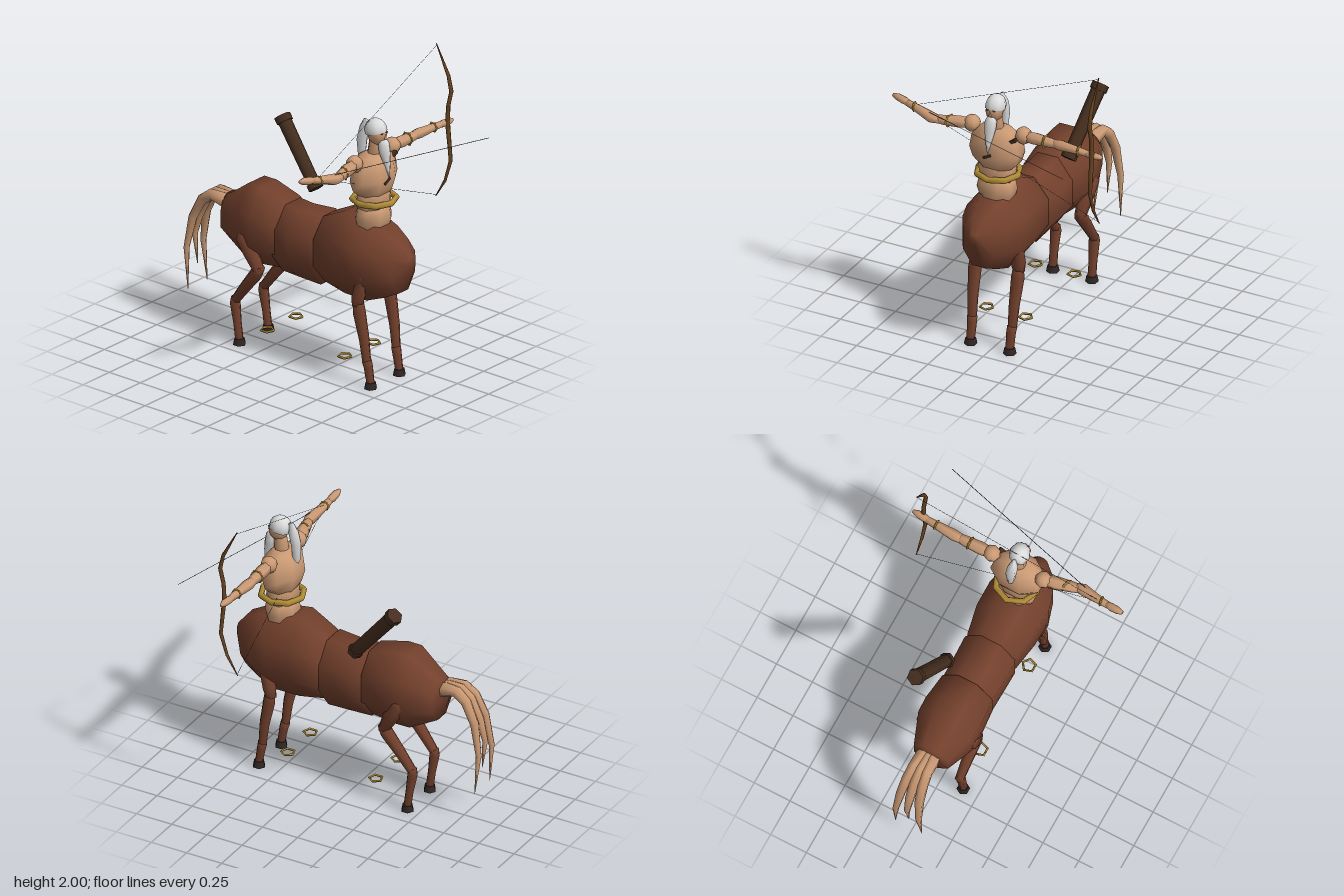
import * as THREE from 'three';

const mat = (name, color) => {
  const m = new THREE.MeshStandardMaterial({ color });
  m.name = name;
  return m;
};

export function createModel() {
  const root = new THREE.Group();
  const coat = mat('chestnut coat', 0x74412d);
  const skin = mat('tan skin', 0xcb9a74);
  const hair = mat('white hair', 0xdcdcdc);
  const gold = mat('gold', 0xb18c36);
  const wood = mat('bow wood', 0x6b4522);
  const leather = mat('dark leather', 0x452e1e);
  const horn = mat('hoof', 0x302726);
  const cord = mat('cord', 0x3a3a3a);
  const CX = -0.012;
  const X = new THREE.Vector3(1, 0, 0), Z = new THREE.Vector3(0, 0, 1);

  function add(name, geo, material, parent = root) {
    const m = new THREE.Mesh(geo, material);
    m.name = name;
    parent.add(m);
    return m;
  }

  // Closed loft through elliptical rings [x, y, z, ru, rv]; u is the ring's first axis
  function loft(rings, n = 6, u = X, dir = null) {
    const pos = [], idx = [], k = n % 4 ? 1 : 1 / Math.cos(Math.PI / n);
    const P = rings.map(r => new THREE.Vector3(r[0], r[1], r[2]));
    const last = rings.length - 1;
    rings.forEach((r, i) => {
      const t = dir || P[Math.min(i + 1, last)].clone().sub(P[Math.max(i - 1, 0)]).normalize();
      const v = t.clone().cross(u).normalize(), w = v.clone().cross(t);
      for (let j = 0; j < n; j++) {
        const a = (j + 0.5) / n * Math.PI * 2;
        const p = P[i].clone().addScaledVector(w, Math.cos(a) * r[3] * k)
          .addScaledVector(v, Math.sin(a) * (r[4] ?? r[3]) * k);
        pos.push(p.x, p.y, p.z);
      }
    });
    const c0 = pos.length / 3, c1 = c0 + 1;
    pos.push(...P[0].toArray(), ...P[last].toArray());
    for (let j = 0; j < n; j++) {
      const q = (j + 1) % n, e = last * n;
      for (let i = 0; i < last; i++) {
        const a = i * n + j, b = i * n + q;
        idx.push(a, b, b + n, a, b + n, a + n);
      }
      idx.push(c0, q, j, c1, e + j, e + q);
    }
    const g = new THREE.BufferGeometry();
    g.setAttribute('position', new THREE.Float32BufferAttribute(pos, 3));
    g.setIndex(idx);
    g.computeVertexNormals();
    return g;
  }

  function ball(name, x, y, z, rx, ry, rz, material) {
    const m = add(name, new THREE.SphereGeometry(1, 8, 6), material);
    m.position.set(x, y, z);
    m.scale.set(rx, ry, rz);
    return m;
  }

  function rod(name, a, b, r, material) {
    const p = new THREE.Vector3(...a), q = new THREE.Vector3(...b);
    return add(name, new THREE.TubeGeometry(new THREE.LineCurve3(p, q), 1, r, 4), material);
  }

  // Horse body: three overlapping masses, rings [z, centre y, half width, half height]
  const body = (name, rows) =>
    add(name, loft(rows.map(([z, y, rx, ry]) => [CX, y, z, rx, ry]), 8, X, Z), coat);
  body('foreBody', [[0.15, 0.8, 0.1, 0.15], [0.2, 0.795, 0.17, 0.215], [0.38, 0.825, 0.2, 0.275],
    [0.56, 0.81, 0.205, 0.26], [0.68, 0.815, 0.17, 0.22], [0.785, 0.815, 0.11, 0.17], [0.853, 0.86, 0.035, 0.04]]);
  body('barrel', [[-0.2, 0.78, 0.1, 0.15], [-0.13, 0.78, 0.17, 0.225], [0, 0.772, 0.172, 0.222],
    [0.18, 0.778, 0.176, 0.232], [0.26, 0.775, 0.12, 0.17]]);
  body('rump', [[-0.612, 0.87, 0.07, 0.055], [-0.585, 0.79, 0.12, 0.14], [-0.4, 0.81, 0.188, 0.255],
    [-0.3, 0.81, 0.192, 0.255], [-0.11, 0.795, 0.175, 0.22], [-0.07, 0.79, 0.1, 0.15]]);

  // Legs, hooves and anklets, mirrored
  for (const s of [-1, 1]) {
    const side = s > 0 ? 'left' : 'right';
    const leg = (name, rows) =>
      add(side + name, loft(rows.map(([x, y, z, r]) => [CX + s * x, y, z, r])), coat);
    leg('FrontUpperLeg', [[0.165, 0.8, 0.59, 0.012], [0.165, 0.75, 0.588, 0.034],
      [0.152, 0.6, 0.553, 0.047], [0.15, 0.53, 0.54, 0.035]]);
    leg('FrontLowerLeg', [[0.15, 0.56, 0.55, 0.034], [0.15, 0.5, 0.555, 0.042],
      [0.145, 0.32, 0.592, 0.034], [0.14, 0.16, 0.61, 0.028]]);
    leg('FrontPastern', [[0.14, 0.18, 0.608, 0.032], [0.137, 0.14, 0.618, 0.03], [0.137, 0.03, 0.637, 0.026]]);
    leg('Thigh', [[0.158, 0.785, -0.375, 0.025], [0.16, 0.745, -0.37, 0.052],
      [0.152, 0.65, -0.31, 0.052], [0.145, 0.53, -0.25, 0.034]]);
    leg('HindShank', [[0.145, 0.57, -0.24, 0.03], [0.143, 0.52, -0.275, 0.044],
      [0.138, 0.4, -0.37, 0.037], [0.135, 0.28, -0.46, 0.03]]);
    leg('HindPastern', [[0.135, 0.31, -0.458, 0.026], [0.135, 0.27, -0.455, 0.035],
      [0.137, 0.14, -0.435, 0.027], [0.137, 0.03, -0.42, 0.027]]);
    for (const [end, z, az] of [['Front', 0.636, 0.43], ['Hind', -0.42, -0.195]]) {
      const hoof = add(side + end + 'Hoof', new THREE.CylinderGeometry(0.033, 0.042, 0.042, 6), horn);
      hoof.position.set(CX + s * 0.137, 0.021, z);
      const ring = add(side + end + 'Anklet', new THREE.TorusGeometry(0.043, 0.008, 4, 5), gold);
      ring.rotation.x = Math.PI / 2;
      ring.position.set(CX + s * 0.137, 0.16, az);
    }
  }

  // Tail strands
  for (const [i, s] of [-1, 0, 1].entries()) {
    const drop = s ? 0 : 0.14;
    add('tailStrand' + (i + 1), loft([[CX + s * 0.02, 0.85, -0.58, 0.05], [CX + s * 0.035, 0.88, -0.64, 0.048],
      [CX + s * 0.045, 0.89, -0.72, 0.038], [CX + s * 0.055, 0.84, -0.79, 0.034],
      [CX + s * 0.065, 0.71, -0.855, 0.03], [CX + s * 0.08, 0.5 + drop * 0.5, -0.893, 0.02],
      [CX + s * 0.092, 0.23 + drop, -0.872, 0.002]]), skin);
  }

  // Human torso: rings [y, centre z, half width, half depth]
  const torso = (name, rows) =>
    add(name, loft(rows.map(([y, z, rx, rz]) => [CX, y, z, rx, rz]), 8, X, new THREE.Vector3(0, 1, 0)), skin);
  torso('hips', [[0.98, 0.545, 0.09, 0.08], [1.09, 0.545, 0.122, 0.1], [1.15, 0.545, 0.11, 0.09], [1.19, 0.545, 0.07, 0.06]]);
  torso('abdomen', [[1.13, 0.545, 0.08, 0.06], [1.18, 0.545, 0.122, 0.09], [1.27, 0.545, 0.112, 0.09], [1.31, 0.545, 0.08, 0.06]]);
  torso('chest', [[1.23, 0.545, 0.09, 0.08], [1.29, 0.545, 0.15, 0.1], [1.36, 0.545, 0.17, 0.118],
    [1.45, 0.545, 0.155, 0.108], [1.505, 0.545, 0.11, 0.07], [1.52, 0.55, 0.05, 0.045]]);
  torso('neck', [[1.48, 0.55, 0.045, 0.045], [1.62, 0.565, 0.036, 0.038]]);
  const belt = add('belt', new THREE.TorusGeometry(0.137, 0.02, 6, 8), gold);
  belt.rotation.x = Math.PI / 2;
  belt.position.set(-0.005, 1.205, 0.545);

  // Visible bits of the quiver strap
  const strapLow = add('strapFront', new THREE.BoxGeometry(0.06, 0.016, 0.008), leather);
  strapLow.position.set(-0.02, 1.355, 0.664);
  strapLow.rotation.z = 0.5;
  const strapTop = add('strapShoulder', new THREE.BoxGeometry(0.06, 0.02, 0.03), leather);
  strapTop.position.set(0.12, 1.465, 0.59);
  strapTop.rotation.z = 0.5;

  // Head, hair, beard and ponytail
  ball('head', CX, 1.65, 0.575, 0.058, 0.078, 0.066, skin);
  const cap = add('hairCap', new THREE.SphereGeometry(1, 8, 5, 0, Math.PI * 2, 0, Math.PI * 0.56), hair);
  cap.scale.set(0.067, 0.078, 0.074);
  cap.position.set(CX, 1.668, 0.564);
  cap.rotation.x = -0.25;
  hair.side = THREE.DoubleSide;
  const nose = add('nose', new THREE.ConeGeometry(0.011, 0.035, 4), skin);
  nose.position.set(CX, 1.647, 0.641);
  for (const s of [-1, 1]) {
    const eye = add(s > 0 ? 'leftEye' : 'rightEye', new THREE.BoxGeometry(0.014, 0.006, 0.006), wood);
    eye.position.set(CX + s * 0.022, 1.665, 0.633);
  }
  add('beard', loft([[CX, 1.378, 0.672, 0.002], [CX, 1.47, 0.655, 0.022, 0.024], [CX, 1.54, 0.635, 0.035, 0.04],
    [CX, 1.59, 0.627, 0.038, 0.036], [CX, 1.618, 0.622, 0.025, 0.02]]), hair);
  add('ponytail', loft([[CX, 1.42, 0.455, 0.008], [CX, 1.47, 0.45, 0.022, 0.028], [CX, 1.58, 0.452, 0.035, 0.037],
    [CX, 1.655, 0.47, 0.033, 0.036], [CX, 1.715, 0.487, 0.012, 0.02]]), hair);

  // Arms and hands
  const arm = (name, rows) => add(name, loft(rows, 6, Z), skin);
  ball('rightShoulder', -0.19, 1.49, 0.54, 0.055, 0.056, 0.055, skin);
  arm('rightUpperArm', [[-0.19, 1.49, 0.54, 0.035], [-0.27, 1.487, 0.56, 0.043],
    [-0.36, 1.485, 0.583, 0.036], [-0.45, 1.488, 0.602, 0.024]]);
  arm('rightForearm', [[-0.39, 1.485, 0.595, 0.028], [-0.44, 1.49, 0.6, 0.038],
    [-0.53, 1.51, 0.583, 0.03], [-0.63, 1.532, 0.57, 0.022]]);
  arm('rightHand', [[-0.61, 1.53, 0.572, 0.018], [-0.65, 1.538, 0.566, 0.026],
    [-0.7, 1.55, 0.562, 0.024], [-0.733, 1.556, 0.56, 0.012]]);
  ball('leftShoulder', 0.17, 1.495, 0.54, 0.055, 0.056, 0.055, skin);
  arm('leftUpperArm', [[0.17, 1.493, 0.54, 0.035], [0.25, 1.492, 0.538, 0.042],
    [0.35, 1.49, 0.535, 0.035], [0.43, 1.49, 0.535, 0.025]]);
  arm('leftForearm', [[0.37, 1.49, 0.535, 0.028], [0.43, 1.49, 0.535, 0.037],
    [0.52, 1.49, 0.54, 0.03], [0.63, 1.488, 0.546, 0.022]]);
  arm('leftHand', [[0.6, 1.488, 0.546, 0.018], [0.65, 1.488, 0.55, 0.026],
    [0.7, 1.488, 0.553, 0.023], [0.731, 1.488, 0.554, 0.01]]);
  for (const [name, x, y, z, r, turn] of [['rightArmband', -0.33, 1.486, 0.575, 0.04, 0.25],
    ['rightBracelet', -0.575, 1.52, 0.576, 0.029, -0.15], ['leftArmband', 0.32, 1.49, 0.536, 0.041, 0],
    ['leftBracelet', 0.56, 1.49, 0.542, 0.03, 0]]) {
    const ring = add(name, new THREE.TorusGeometry(r, 0.007, 4, 6), gold);
    ring.rotation.y = Math.PI / 2 - turn;
    ring.position.set(x, y, z);
  }

  // Bow, string and arrow
  const BX = 0.665;
  add('bow', loft([[0.975, 0.475, 0.003], [1.1, 0.55, 0.01], [1.245, 0.595, 0.013], [1.37, 0.583, 0.014],
    [1.49, 0.57, 0.016], [1.605, 0.575, 0.014], [1.71, 0.6, 0.014], [1.81, 0.577, 0.012],
    [2.0, 0.48, 0.003]].map(([y, z, r]) => [BX, y, z, r])), wood);
  const nock = [-0.58, 1.528, 0.57];
  rod('upperString', [BX, 1.99, 0.483], nock, 0.0012, cord);
  rod('lowerString', [BX, 0.985, 0.478], nock, 0.0012, cord);
  rod('arrow', nock, [0.65, 1.49, 0.91], 0.002, cord);

  // Quiver with thicker rims
  const quiver = new THREE.Group();
  quiver.name = 'quiver';
  const low = new THREE.Vector3(0.158, 1.055, -0.07), high = new THREE.Vector3(0.208, 1.41, -0.365);
  const axis = high.clone().sub(low), len = axis.length();
  add('quiverTube', new THREE.CylinderGeometry(0.046, 0.042, len, 6), leather, quiver);
  add('quiverMouth', new THREE.CylinderGeometry(0.055, 0.055, 0.045, 6), leather, quiver).position.y = len / 2;
  add('quiverBase', new THREE.CylinderGeometry(0.05, 0.05, 0.035, 6), leather, quiver).position.y = -len / 2;
  quiver.position.copy(low).add(high).multiplyScalar(0.5);
  quiver.quaternion.setFromUnitVectors(new THREE.Vector3(0, 1, 0), axis.normalize());
  root.add(quiver);

  return root;
}
